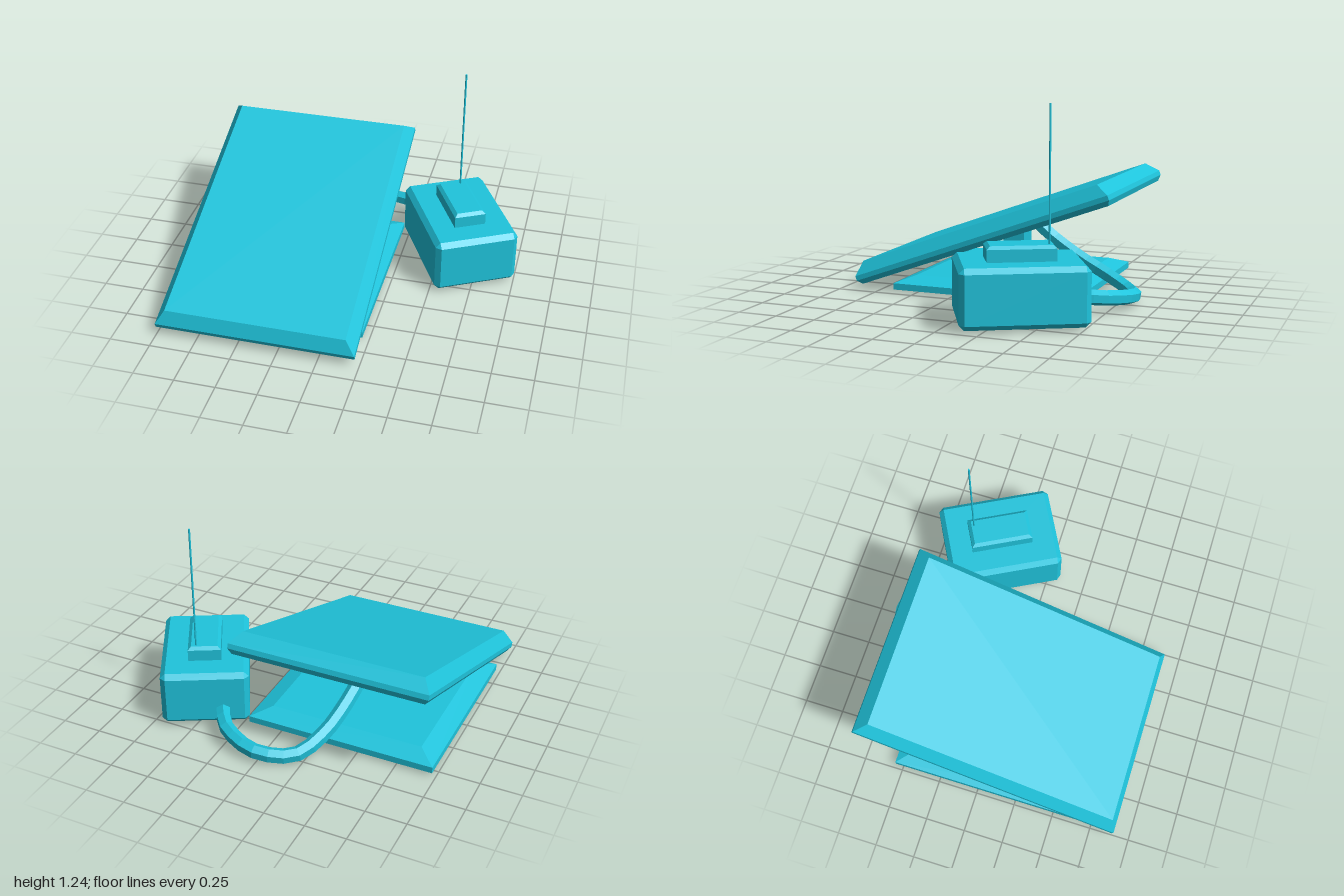
import * as THREE from 'three';
import { ConvexGeometry } from 'three/addons/geometries/ConvexGeometry.js';

const material = new THREE.MeshStandardMaterial({ color: 0x1fc4dc, flatShading: true });

function add(parent, name, geometry, x = 0, y = 0, z = 0) {
  const mesh = new THREE.Mesh(geometry, material);
  mesh.name = name;
  mesh.position.set(x, y, z);
  parent.add(mesh);
  return mesh;
}

// Closed stack of rectangles, each layer given as [y, halfX, halfZ] from the bottom up
function rectLoft(layers) {
  const positions = [], index = [];
  for (const [y, hx, hz] of layers) {
    positions.push(-hx, y, hz, hx, y, hz, hx, y, -hz, -hx, y, -hz);
  }
  for (let l = 0; l < layers.length - 1; l++) {
    for (let i = 0; i < 4; i++) {
      const a = l * 4 + i, b = l * 4 + (i + 1) % 4;
      index.push(a, b, b + 4, a, b + 4, a + 4);
    }
  }
  const t = (layers.length - 1) * 4;
  index.push(t, t + 1, t + 2, t, t + 2, t + 3, 0, 2, 1, 0, 3, 2);
  const geometry = new THREE.BufferGeometry();
  geometry.setAttribute('position', new THREE.Float32BufferAttribute(positions, 3));
  geometry.setIndex(index);
  const flat = geometry.toNonIndexed();
  flat.computeVertexNormals();
  return flat;
}

// Box with every edge chamfered by c
function chamferBox(hx, hy, hz, c) {
  const points = [];
  for (const sx of [-1, 1]) for (const sy of [-1, 1]) for (const sz of [-1, 1]) {
    points.push(
      new THREE.Vector3(sx * hx, sy * (hy - c), sz * (hz - c)),
      new THREE.Vector3(sx * (hx - c), sy * hy, sz * (hz - c)),
      new THREE.Vector3(sx * (hx - c), sy * (hy - c), sz * hz));
  }
  return new ConvexGeometry(points);
}

export function createModel() {
  const model = new THREE.Group();
  model.name = 'solarPanelStation';

  // Tilted panel with a bevelled frame
  const panel = new THREE.Group();
  panel.name = 'tiltedPanel';
  panel.position.x = -0.3875;
  panel.rotation.x = THREE.MathUtils.degToRad(20.2);
  model.add(panel);
  add(panel, 'panelSlab', rectLoft([
    [0.331, 0.59, 0.853],
    [0.362, 0.6125, 0.875],
    [0.392, 0.6125, 0.875],
    [0.468, 0.555, 0.817],
  ]), 0, 0, -0.061);

  // Ground plate with a sloped rim, and the post holding the panel
  add(model, 'basePlate', rectLoft([
    [0.02, 0.593, 0.595],
    [0.06, 0.593, 0.595],
    [0.10, 0.483, 0.485],
  ]), -0.383, 0, 0.045);
  add(model, 'supportPost', new THREE.BoxGeometry(0.14, 0.3, 0.14), -0.385, 0.235, 0.035);

  // Equipment box, turned beside the panel
  const unit = new THREE.Group();
  unit.name = 'equipmentUnit';
  unit.position.set(0.61, 0, -0.352);
  unit.rotation.y = THREE.MathUtils.degToRad(28);
  model.add(unit);
  add(unit, 'equipmentBox', chamferBox(0.266, 0.1725, 0.365, 0.03), 0, 0.1925, 0);
  add(unit, 'topCover', rectLoft([
    [0.355, 0.1, 0.197],
    [0.437, 0.1, 0.197],
    [0.455, 0.08, 0.177],
  ]));

  // Thin aerial at the back of the cover
  add(model, 'antenna', new THREE.CylinderGeometry(0.006, 0.006, 0.8, 8), 0.578, 0.84, -0.517);

  // Cable from the back of the box, over the ground, up to the panel's underside
  const path = new THREE.CatmullRomCurve3([
    [0.39, 0.11, -0.53], [0.335, 0.11, -0.645], [0.25, 0.095, -0.755],
    [0.02, 0.065, -0.848], [-0.2, 0.05, -0.765], [-0.3, 0.11, -0.6],
    [-0.35, 0.2, -0.4], [-0.38, 0.32, -0.2], [-0.385, 0.41, -0.09],
  ].map(p => new THREE.Vector3(...p)));
  add(model, 'cable', new THREE.TubeGeometry(path, 18, 0.046, 6, false));

  return model;
}
